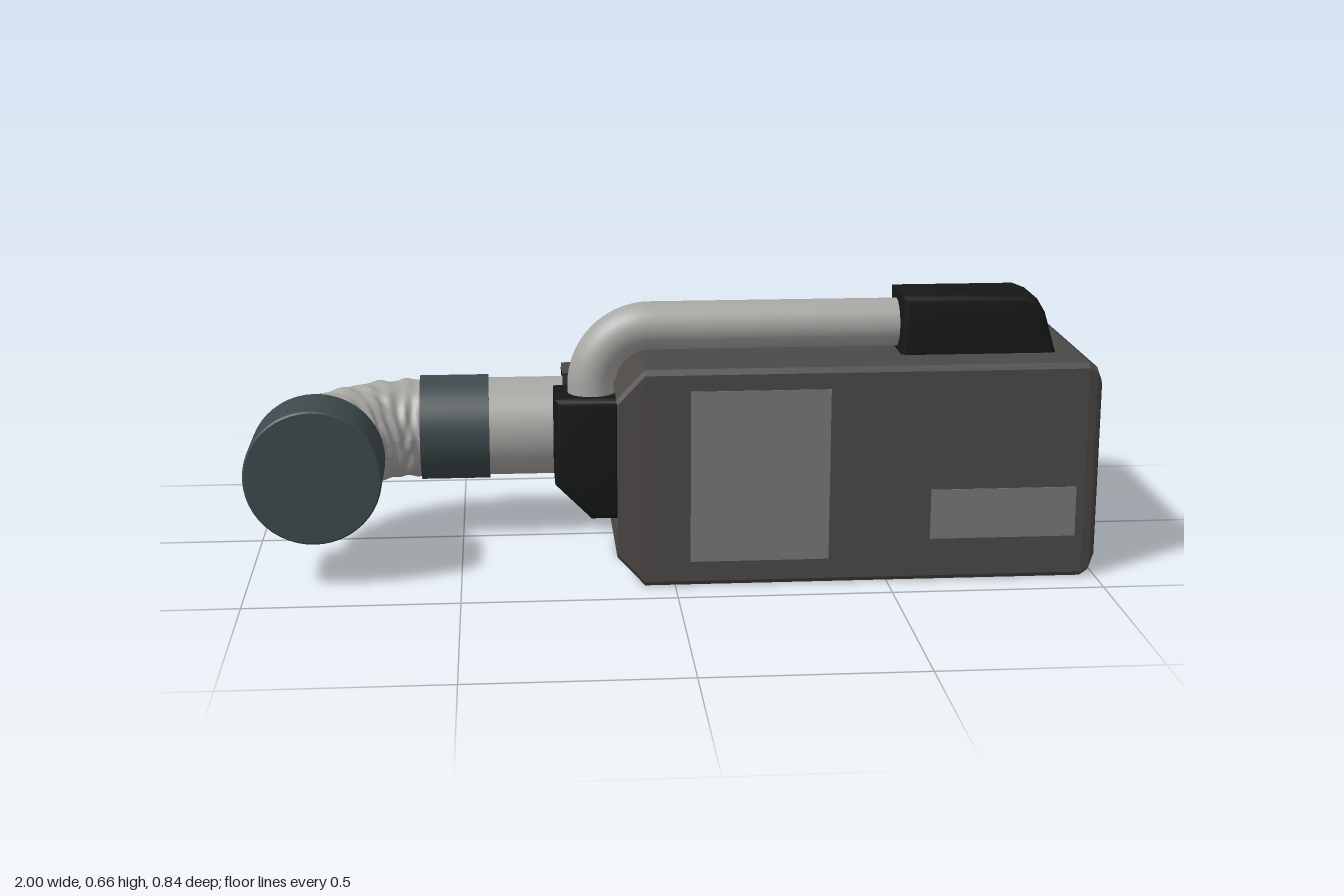
import * as THREE from 'three';
import { toCreasedNormals } from 'three/addons/utils/BufferGeometryUtils.js';

const mat = (color) => new THREE.MeshStandardMaterial({ color });
const shell = mat(0x4c4947), steel = mat(0x3d494c), dark = mat(0x222828);
const black = mat(0x151817), metal = mat(0xa8a6a3), panelGrey = mat(0x777777);

const AXIS_Y = 0.27, AXIS_Z = -0.06; // centre line of the side pipe

function add(parent, name, geometry, material, x = 0, y = 0, z = 0) {
  const mesh = new THREE.Mesh(geometry, material);
  mesh.name = name;
  mesh.position.set(x, y, z);
  parent.add(mesh);
  return mesh;
}

// Eight-cornered housing section at x; inY, inF and inB pull in its edges
function section(x, back, inY = 0, inF = 0, inB = 0) {
  const b = 0.012, top = 0.52 - inY, bottom = inY, front = 0.42 - inF, rear = back + inB;
  const ridge = back + 0.13 + inB * 0.4, hi = 0.39 - inB * 0.4, lo = 0.13 + inB * 0.4;
  return [
    [front - b, bottom], [front, bottom + b], [front, top - b], [front - b, top],
    [ridge, top], [rear, hi], [rear, lo], [ridge, bottom],
  ].map(([z, y]) => [x, y, z]);
}

// Skin between sections, closed at both ends
function loft(rings) {
  const out = [], n = rings[0].length;
  const tri = (a, b, c) => out.push(...a, ...b, ...c);
  for (let i = 0; i < rings.length - 1; i++) {
    for (let k = 0; k < n; k++) {
      const a = rings[i][k], b = rings[i][(k + 1) % n];
      const c = rings[i + 1][(k + 1) % n], d = rings[i + 1][k];
      tri(a, d, c);
      tri(a, c, b);
    }
  }
  const first = rings[0], last = rings[rings.length - 1];
  for (let k = 1; k < n - 1; k++) {
    tri(first[0], first[k], first[k + 1]);
    tri(last[0], last[k + 1], last[k]);
  }
  const g = new THREE.BufferGeometry();
  g.setAttribute('position', new THREE.Float32BufferAttribute(out, 3));
  g.computeVertexNormals();
  return g;
}

// Side profile in x/y, extruded along z with softened edges
function block(points, z0, z1, bevel) {
  const shape = new THREE.Shape(points.map(([x, y]) => new THREE.Vector2(x, y)));
  const g = new THREE.ExtrudeGeometry(shape, {
    depth: z1 - z0 - 2 * bevel, bevelEnabled: true, bevelThickness: bevel,
    bevelSize: bevel, bevelOffset: -bevel, bevelSegments: 4,
  });
  g.translate(0, 0, z0 + bevel);
  return toCreasedNormals(g, 0.6);
}

// Straight run, quarter bend, straight run
function bentPath(start, corner, end, radius) {
  const [s, c, e] = [start, corner, end].map((p) => new THREE.Vector3(...p));
  const dirIn = s.clone().sub(c).normalize(), dirOut = e.clone().sub(c).normalize();
  const a = c.clone().addScaledVector(dirIn, radius), b = c.clone().addScaledVector(dirOut, radius);
  const k = radius * 0.45;
  const path = new THREE.CurvePath();
  if (s.distanceTo(a) > 0.001) path.add(new THREE.LineCurve3(s, a));
  path.add(new THREE.CubicBezierCurve3(a, c.clone().addScaledVector(dirIn, k), c.clone().addScaledVector(dirOut, k), b));
  if (b.distanceTo(e) > 0.001) path.add(new THREE.LineCurve3(b, e));
  return path;
}

function createBody() {
  const body = new THREE.Group();
  body.name = 'body';
  add(body, 'housing', loft([
    section(-0.10, -0.32, 0.1, 0.04, 0.06), // recessed left end
    section(-0.13, -0.32, 0.1, 0.04, 0.06),
    section(-0.135, -0.32, 0.07, 0.005, 0.025),
    section(-0.07, -0.32),
    section(0.20, -0.32),
    section(0.36, -0.42),
    section(0.965, -0.42),
    section(0.985, -0.42, 0.012, 0.004, 0.012),
    section(0.995, -0.42, 0.036, 0.01, 0.036),
  ]), shell);
  add(body, 'endPanel', loft([
    section(0.99, -0.42, 0.04, 0.014, 0.04),
    section(0.998, -0.42, 0.04, 0.014, 0.04),
  ]), dark);

  // Inlaid panels on the front and a slot on the top
  add(body, 'largeFrontPanel', new THREE.BoxGeometry(0.325, 0.41, 0.008), panelGrey, 0.198, 0.265, 0.418);
  add(body, 'smallFrontPanel', new THREE.BoxGeometry(0.345, 0.12, 0.008), panelGrey, 0.773, 0.163, 0.418);
  add(body, 'topSlot', new THREE.BoxGeometry(0.22, 0.006, 0.048), black, 0.508, 0.519, -0.148);
  return body;
}

function createSidePipe() {
  const pipe = new THREE.Group();
  pipe.name = 'sidePipe';
  const along = (name, r, x0, x1, material) => {
    const g = new THREE.CylinderGeometry(r, r, x1 - x0, 40);
    g.rotateZ(Math.PI / 2);
    add(pipe, name, g, material, (x0 + x1) / 2, AXIS_Y, AXIS_Z);
  };
  along('outletPipe', 0.122, -0.44, -0.09, metal);
  along('collar', 0.13, -0.6, -0.43, steel);

  // Clips gripping the pipe at the housing
  for (let i = 0; i < 6; i++) {
    const clip = new THREE.Group();
    clip.name = 'clip';
    clip.position.set(0, AXIS_Y, AXIS_Z);
    clip.rotation.x = (i * Math.PI) / 3;
    add(clip, 'clipArm', new THREE.BoxGeometry(0.15, 0.06, 0.028), black, -0.17, 0, 0.132);
    add(clip, 'clipTip', new THREE.BoxGeometry(0.05, 0.045, 0.02), black, -0.222, 0, 0.146);
    pipe.add(clip);
  }

  // Wrinkled elbow
  const path = bentPath([-0.58, AXIS_Y, AXIS_Z], [-0.837, AXIS_Y, AXIS_Z], [-0.837, AXIS_Y, 0.23], 0.24);
  const elbow = new THREE.TubeGeometry(path, 72, 0.12, 48, false);
  const pos = elbow.attributes.position, nor = elbow.attributes.normal;
  for (let i = 0; i < pos.count; i++) {
    const u = Math.floor(i / 49) / 72, v = ((i % 49) / 48) * Math.PI * 2;
    const d = 0.0025 * (Math.sin(u * 50 + 2 * Math.sin(v * 3)) + Math.sin(v * 8 + 3 * Math.sin(u * 17)));
    pos.setXYZ(i, pos.getX(i) + nor.getX(i) * d, pos.getY(i) + nor.getY(i) * d, pos.getZ(i) + nor.getZ(i) * d);
  }
  elbow.computeVertexNormals();
  add(pipe, 'elbow', elbow, metal);

  // Nozzle head with a closed front
  const profile = [[0, 0.008], [0.125, 0.008], [0.13, 0], [0.154, 0], [0.16, 0.006], [0.16, 0.169], [0.156, 0.174], [0, 0.174]];
  const head = toCreasedNormals(new THREE.LatheGeometry(profile.map(([r, y]) => new THREE.Vector2(r, y)), 48), 0.6);
  head.rotateX(Math.PI / 2);
  add(pipe, 'nozzle', head, steel, -0.837, AXIS_Y, 0.211);
  return pipe;
}

function createTopHandle() {
  const handle = new THREE.Group();
  handle.name = 'topHandle';
  const z = 0.22;
  const path = bentPath([-0.185, 0.38, z], [-0.185, 0.583, z], [0.57, 0.583, z], 0.14);
  add(handle, 'handleTube', new THREE.TubeGeometry(path, 90, 0.057, 28, false), metal);
  add(handle, 'rearMount', block([
    [-0.12, 0.13], [-0.19, 0.13], [-0.235, 0.175], [-0.275, 0.215], [-0.275, 0.425], [-0.12, 0.425],
  ].reverse(), 0.14, 0.302, 0.016), black);
  add(handle, 'frontMount', block([
    [0.543, 0.49], [0.925, 0.49], [0.91, 0.53], [0.885, 0.615], [0.865, 0.648], [0.835, 0.66], [0.543, 0.66],
  ], 0.14, 0.304, 0.016), black);
  return handle;
}

export function createModel() {
  const model = new THREE.Group();
  model.name = 'device';
  model.add(createBody(), createSidePipe(), createTopHandle());
  return model;
}
